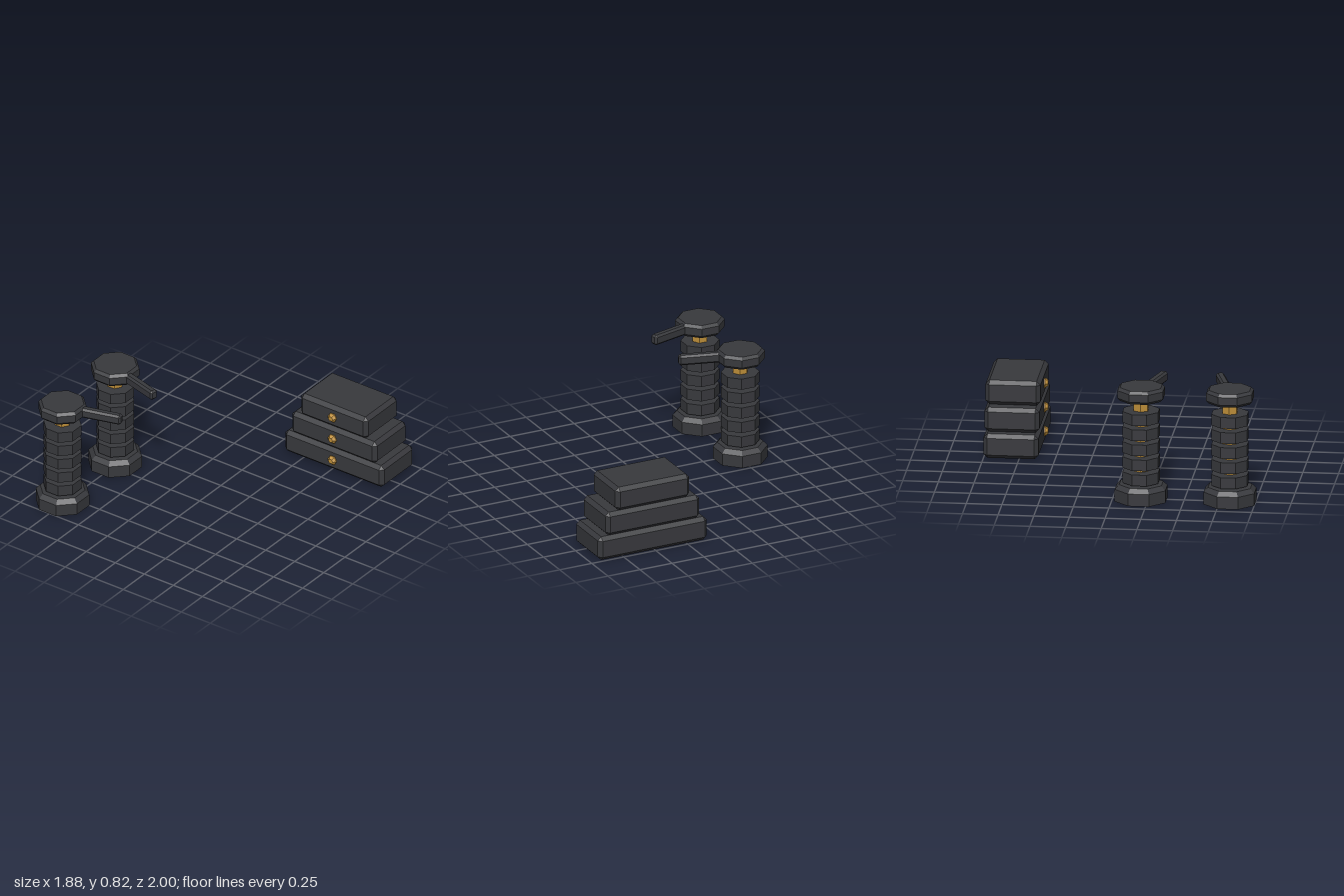
import * as THREE from 'three';
import { ConvexGeometry } from 'three/addons/geometries/ConvexGeometry.js';

const dark = new THREE.MeshStandardMaterial({ color: 0x38393d, flatShading: true });
const brass = new THREE.MeshStandardMaterial({ color: 0xc0903a, flatShading: true });

function add(parent, name, geometry, material, x = 0, y = 0, z = 0) {
  const mesh = new THREE.Mesh(geometry, material);
  mesh.name = name;
  mesh.position.set(x, y, z);
  parent.add(mesh);
  return mesh;
}

// Box with every edge and corner cut by c
function chamferBox(w, h, d, c) {
  const points = [];
  for (const sx of [-1, 1]) for (const sy of [-1, 1]) for (const sz of [-1, 1]) {
    const [x, y, z] = [w / 2, h / 2, d / 2];
    points.push(
      new THREE.Vector3(sx * x, sy * (y - c), sz * (z - c)),
      new THREE.Vector3(sx * (x - c), sy * y, sz * (z - c)),
      new THREE.Vector3(sx * (x - c), sy * (y - c), sz * z));
  }
  return new ConvexGeometry(points);
}

// Octagonal solid with flats along the axes; profile is [half width, y], bottom to top
function octagon(profile) {
  const k = 1 / Math.cos(Math.PI / 8);
  const points = profile.map(([a, y]) => new THREE.Vector2(a * k, y));
  return new THREE.LatheGeometry(points, 8, Math.PI / 8);
}

// Ringed post with an octagonal head and a side handle
function createPost(name, z, handleAngle) {
  const post = new THREE.Group();
  post.name = name;
  post.position.set(-0.765, 0, z);

  add(post, 'base', octagon([[0, 0], [0.177, 0], [0.177, 0.088], [0.148, 0.12], [0, 0.12]]), dark);

  const shaft = add(post, 'shaft', new THREE.CylinderGeometry(0.057, 0.057, 0.66, 6), brass, 0, 0.42, 0);
  shaft.rotation.y = Math.PI / 6;

  const ring = octagon([[0, -0.04], [0.125, -0.04], [0.125, 0.04], [0, 0.04]]);
  for (let i = 0; i < 5; i++) add(post, 'ring', ring, dark, 0, 0.172 + i * 0.1095, 0);

  add(post, 'head', octagon([
    [0, 0.73], [0.142, 0.73], [0.16, 0.75], [0.16, 0.805], [0.142, 0.825], [0, 0.825]]), dark);

  const pivot = new THREE.Group();
  pivot.name = 'handlePivot';
  pivot.rotation.y = handleAngle;
  post.add(pivot);
  add(pivot, 'handle', chamferBox(0.34, 0.074, 0.06, 0.014), dark, 0.27, 0.777, 0);
  return post;
}

// Stack of three chamfered blocks, each with a brass stud in front
function createStack() {
  const stack = new THREE.Group();
  stack.name = 'blockStack';
  stack.position.set(0.515, 0, -0.808);
  const studProfile = [[0, 0], [0.036, 0], [0.036, 0.008], [0.019, 0.028], [0, 0.028]]
    .map(([r, y]) => new THREE.Vector2(r, y));
  const studGeometry = new THREE.LatheGeometry(studProfile, 6, Math.PI / 6);
  [0.85, 0.732, 0.578].forEach((width, i) => {
    const y = 0.0875 + i * 0.175;
    add(stack, 'block', chamferBox(width, 0.175, 0.384, 0.027), dark, 0, y, 0);
    const stud = add(stack, 'stud', studGeometry, brass, 0, y, 0.191);
    stud.rotation.x = Math.PI / 2;
  });
  return stack;
}

export function createModel() {
  const model = new THREE.Group();
  model.name = 'postsAndBlocks';
  const tilt = THREE.MathUtils.degToRad(15.5);
  model.add(createPost('frontPost', 0.823, tilt));
  model.add(createPost('rearPost', 0.2, -tilt));
  model.add(createStack());
  return model;
}
